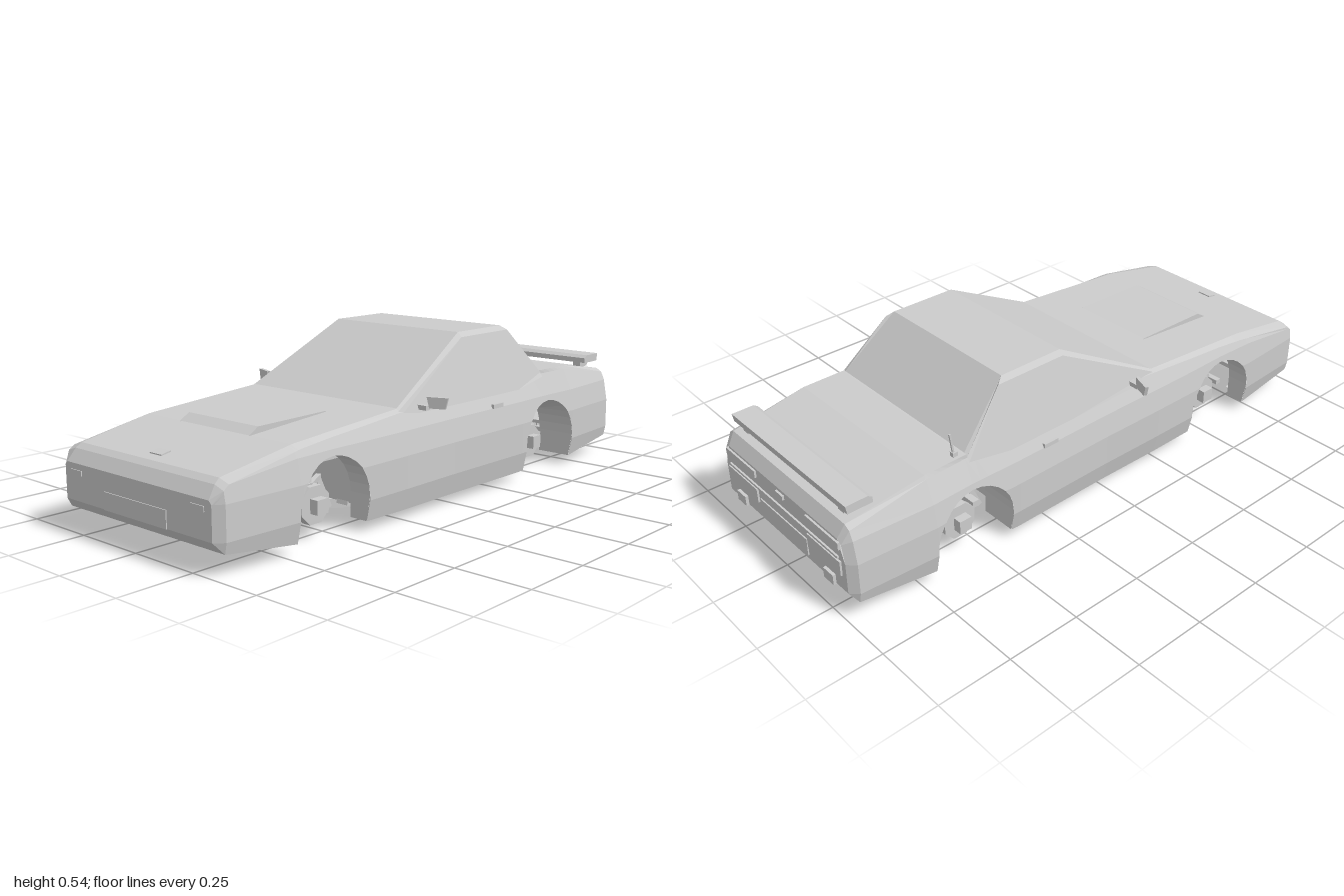
import * as THREE from 'three';

const grey = new THREE.MeshStandardMaterial({ color: 0xcccccc, side: THREE.DoubleSide, flatShading: true });
grey.name = 'bodyGrey';

// Piecewise linear lookup in [[t, value], ...]
function lerpTable(table, t) {
  if (t <= table[0][0]) return table[0][1];
  for (let i = 1; i < table.length; i++) {
    const [a, va] = table[i - 1], [b, vb] = table[i];
    if (t <= b) return va + (vb - va) * (t - a) / (b - a);
  }
  return table[table.length - 1][1];
}

// Faceted skin through rows of points
function skin(rows) {
  const p = [];
  for (let i = 0; i + 1 < rows.length; i++)
    for (let j = 0; j + 1 < rows[i].length; j++) {
      const a = rows[i][j], b = rows[i][j + 1], c = rows[i + 1][j + 1], d = rows[i + 1][j];
      p.push(...a, ...b, ...c, ...a, ...c, ...d);
    }
  const g = new THREE.BufferGeometry();
  g.setAttribute('position', new THREE.Float32BufferAttribute(p, 3));
  g.computeVertexNormals();
  return g;
}
const mirrored = half => [...half, ...half.slice().reverse().map(([x, y, z]) => [-x, y, z])];

const NOSE_Z = 0.997, TAIL_Z = -0.99;
const deckHeight = [[TAIL_Z, 0.28], [-0.96, 0.33], [-0.7, 0.365], [-0.54, 0.366], [0.24, 0.345],
  [0.69, 0.313], [0.95, 0.266], [0.97, 0.252], [NOSE_Z, 0.215]];
const halfWidth = [[TAIL_Z, 0.33], [-0.965, 0.355], [-0.7, 0.372], [-0.55, 0.367], [-0.35, 0.371], [0, 0.367],
  [0.35, 0.371], [0.56, 0.367], [0.7, 0.372], [0.97, 0.356], [NOSE_Z, 0.33]];
const deckEdge = [[TAIL_Z, 0.3], [-0.95, 0.31], [-0.7, 0.32], [0.7, 0.32], [0.95, 0.31], [NOSE_Z, 0.32]];
const inset = [[0.03, 0.015], [0.1, 0], [0.205, 0], [0.28, 0.014], [0.35, 0.046]];

const ARCH_R = 0.146, ARCH_Y = 0.115, FRONT_Z = 0.563, REAR_Z = -0.552;
function archPoints(zc) {
  const pts = [[zc - ARCH_R, 0.033]];
  for (let i = 0; i <= 14; i++) {
    const a = Math.PI * (1 - i / 14);
    pts.push([zc + ARCH_R * Math.cos(a), ARCH_Y + ARCH_R * Math.sin(a)]);
  }
  pts.push([zc + ARCH_R, 0.033]);
  return pts;
}
const sideX = (y, z) => lerpTable(halfWidth, z) - lerpTable(inset, y);

// One body cross-section, cut off below at yb
function section([z, yb]) {
  const top = lerpTable(deckHeight, z);
  const side = [0.03, 0.1, 0.205, Math.min(0.28, top - 0.02), top - 0.012]
    .map(y => Math.max(yb, Math.min(y, top - 0.005)))
    .map(y => [sideX(y, z), y, z]);
  return mirrored([...side, [Math.min(lerpTable(deckEdge, z), side[4][0]), top, z]]);
}

export function createModel() {
  const car = new THREE.Group();
  car.name = 'car';
  const add = (name, geo) => {
    const m = new THREE.Mesh(geo, grey);
    m.name = name;
    car.add(m);
    return m;
  };
  const box = (name, w, h, d, x, y, z, rx = 0, ry = 0) => {
    const m = add(name, new THREE.BoxGeometry(w, h, d));
    m.position.set(x, y, z);
    m.rotation.set(rx, ry, 0);
    return m;
  };
  // Square bar between two points
  const bar = (name, a, b, t = 0.02, h = t) => {
    const from = new THREE.Vector3(...a), to = new THREE.Vector3(...b);
    const m = add(name, new THREE.BoxGeometry(t, h, from.distanceTo(to)));
    m.position.copy(from).add(to).multiplyScalar(0.5);
    m.lookAt(to);
    return m;
  };

  // Body shell with wheel arches
  const stations = [[TAIL_Z, 0.1], [-0.965, 0.065], ...archPoints(REAR_Z), [-0.38, 0.03], [0, 0.03], [0.24, 0.03],
    ...archPoints(FRONT_Z), [0.95, 0.063], [0.97, 0.066], [NOSE_Z, 0.1]];
  add('bodyShell', skin(stations.map(section)));

  // Nose and tail panels, with the chamfer under each bumper
  const endPanel = (name, z, zIn, top) => add(name, skin([[zIn, 0.066], [z, 0.1], [z, 0.205], [z, top]]
    .map(([pz, y], i) => {
      const x = i === 3 ? Math.min(lerpTable(deckEdge, z), sideX(y, z)) : sideX(y, pz);
      return [[-x, y, pz], [x, y, pz]];
    })));
  endPanel('nosePanel', NOSE_Z, 0.97, 0.215);
  endPanel('tailPanel', TAIL_Z, -0.965, 0.28);

  // Cabin: windscreen, roof, rear window and side glass
  add('cabin', skin([
    [[0.335, 0.32, 0.24], [0.328, 0.338, 0.24], [0.32, 0.346, 0.24]],
    [[0.341, 0.32, -0.13], [0.285, 0.525, -0.13], [0.27, 0.541, -0.13]],
    [[0.341, 0.32, -0.39], [0.285, 0.525, -0.39], [0.27, 0.541, -0.365]],
    [[0.334, 0.345, -0.545], [0.325, 0.36, -0.545], [0.31, 0.367, -0.545]],
  ].map(mirrored)));

  // Raised bonnet wedge
  add('bonnetBulge', skin([
    [[0.155, 0.334, 0.38], [0.155, 0.338, 0.38]],
    [[0.155, 0.312, 0.665], [0.155, 0.335, 0.665]],
    [[0.155, 0.308, 0.7], [0.155, 0.314, 0.7]],
  ].map(mirrored)));
  box('bonnetBadge', 0.052, 0.006, 0.035, 0, 0.276, 0.9, 0.19);

  // Front and rear fittings
  box('frontPlate', 0.284, 0.055, 0.006, 0, 0.127, 0.997);
  box('rearPlate', 0.26, 0.06, 0.006, 0, 0.145, -0.991);
  box('rearTrim', 0.6, 0.008, 0.008, 0, 0.215, -0.992);
  box('bootLatch', 0.04, 0.015, 0.01, 0, 0.262, -0.992);
  for (const s of [-1, 1]) {
    box('frontIndicator', 0.053, 0.016, 0.006, s * 0.275, 0.188, 0.997);
    box('tailLamp', 0.17, 0.05, 0.009, s * 0.225, 0.18, -0.992);
    box('upperTailLamp', 0.17, 0.025, 0.009, s * 0.225, 0.26, -0.992);
    box('towBracket', 0.05, 0.035, 0.02, s * 0.245, 0.115, -0.99);

    // Mirrors and door handles
    box('mirrorArm', 0.035, 0.015, 0.02, s * 0.346, 0.338, 0.14);
    const mirror = box('mirror', 0.07, 0.036, 0.012, s * 0.39, 0.355, 0.125, 0, s * 0.35);
    const p = mirror.geometry.attributes.position;
    for (let i = 0; i < p.count; i++) if (p.getY(i) < 0) p.setX(i, p.getX(i) * 0.75);
    box('doorHandle', 0.012, 0.014, 0.055, s * 0.356, 0.288, -0.243);

    // Wing supports
    box('wingPost', 0.03, 0.03, 0.05, s * 0.26, 0.345, -0.92);
  }

  // Rear wing, with a sloping front edge
  const wing = new THREE.Shape([[-0.87, 0.352], [-0.955, 0.352], [-0.96, 0.38], [-0.885, 0.38], [-0.87, 0.37]]
    .map(([z, y]) => new THREE.Vector2(-z, y)));
  const wingGeo = new THREE.ExtrudeGeometry(wing, { depth: 0.62, bevelEnabled: false });
  wingGeo.rotateY(Math.PI / 2).translate(-0.31, 0, 0);
  add('rearWing', wingGeo);

  // Aerial
  bar('aerial', [-0.3, 0.36, -0.575], [-0.3, 0.445, -0.588], 0.006);
  box('aerialBase', 0.016, 0.02, 0.018, -0.3, 0.37, -0.575);

  // Floor pan, tunnel and rear floor
  box('floorPan', 0.68, 0.012, 0.78, 0, 0.08, 0.01);
  box('bulkhead', 0.66, 0.24, 0.01, 0, 0.205, 0.4);
  box('rearSeatPanel', 0.66, 0.13, 0.01, 0, 0.145, -0.39);
  box('rearFloor', 0.46, 0.012, 0.3, 0, 0.212, REAR_Z);
  box('bootFloor', 0.66, 0.012, 0.26, 0, 0.14, -0.83);
  box('fuelTank', 0.36, 0.05, 0.15, 0, 0.115, -0.83);
  add('gearboxShield', skin([[[0.07, 0.068, 0.5]], [[0.06, 0.036, 0.3]], [[0.05, 0.078, 0.1]]].map(mirrored)));
  for (let i = 0; i < 5; i++) {
    box('frontCrossMember', 0.5, 0.016, 0.022, 0, 0.075 + (i % 2) * 0.012, 0.92 - i * 0.11);
    for (const s of [-1, 1]) box('floorRib', 0.1, 0.014, 0.022, s * 0.25, 0.072, 0.3 - i * 0.07);
  }
  for (const z of [0.36, 0.02, -0.36]) box('floorCrossMember', 0.64, 0.02, 0.03, 0, 0.07, z);
  for (const z of [-0.46, -0.66, -0.75, -0.93]) box('rearCrossMember', 0.5, 0.022, 0.025, 0, 0.1, z);

  for (const s of [-1, 1]) {
    // Sills and chassis rails
    box('sill', 0.05, 0.035, 0.78, s * 0.325, 0.052, 0.005);
    const rail = [[0.125, 0.083, 0.93], [0.125, 0.05, 0.6], [0.125, 0.05, 0.45], [0.2, 0.04, 0.28],
      [0.2, 0.04, -0.14], [0.12, 0.06, -0.4], [0.16, 0.11, -0.6], [0.16, 0.1, -0.94]];
    for (let i = 1; i < rail.length; i++) {
      const [a, b] = [rail[i - 1], rail[i]].map(([x, y, z]) => [s * x, y, z]);
      bar('chassisRail', a, b, 0.034, 0.03);
    }
    box('floorRunner', 0.15, 0.018, 0.35, s * 0.168, 0.021, 0.065);
    bar('runnerFront', [s * 0.22, 0.06, 0.38], [s * 0.22, 0.025, 0.24], 0.045, 0.016);
    box('silencer', 0.07, 0.03, 0.14, s * 0.105, 0.015, -0.25);

    // Turned-in lower lips ahead of and behind the wheels
    for (const [z0, z1] of [[0.71, 0.965], [-0.7, -0.96]])
      add('lowerLip', skin([[z0, 0.034], [z1, 0.066]].map(([z, y]) =>
        [[s * sideX(y, z), y, z], [s * 0.28, y + 0.03, z]])));

    // Wheel arch liners; the rear one domes over inward
    for (const [zc, depth, top, label] of [[FRONT_Z, 0.29, 0.3, 'front'], [REAR_Z, 0.23, 0.206, 'rear']]) {
      add(label + 'ArchLiner', skin(archPoints(zc).map(([z, y]) =>
        [[s * (sideX(y, z) - 0.001), y, z], [s * depth, Math.min(y, top), z]])));

      // Hub, wishbones and links
      const hub = add(label + 'Hub', new THREE.CylinderGeometry(0.062, 0.062, 0.03, 8, 1, false, Math.PI / 8));
      hub.rotation.z = Math.PI / 2;
      hub.position.set(s * 0.27, 0.102, zc);
      box(label + 'Axle', 0.05, 0.045, 0.045, s * 0.29, 0.102, zc);
      bar(label + 'Damper', [s * 0.25, 0.1, zc], [s * 0.24, 0.215, zc], 0.025);
      for (const d of [-1, 1]) {
        bar(label + 'Wishbone', [s * 0.26, 0.07, zc], [s * 0.12, 0.075, zc + d * 0.1], 0.016);
        bar(label + 'UpperLink', [s * 0.26, 0.155, zc], [s * 0.2, 0.155, zc + d * 0.1], 0.016);
        bar(label + 'Brace', [s * 0.2, 0.155, zc + d * 0.09], [s * 0.2, 0.05, zc + d * 0.14], 0.018);
      }
    }
    box('rearDamperTop', 0.04, 0.035, 0.045, s * 0.24, 0.196, REAR_Z);
    bar('innerWingRail', [s * 0.22, 0.215, 0.9], [s * 0.22, 0.215, 0.4], 0.018);
  }
  for (const zc of [FRONT_Z, REAR_Z]) bar('driveShaft', [-0.27, 0.102, zc], [0.27, 0.102, zc], 0.022);

  return car;
}
